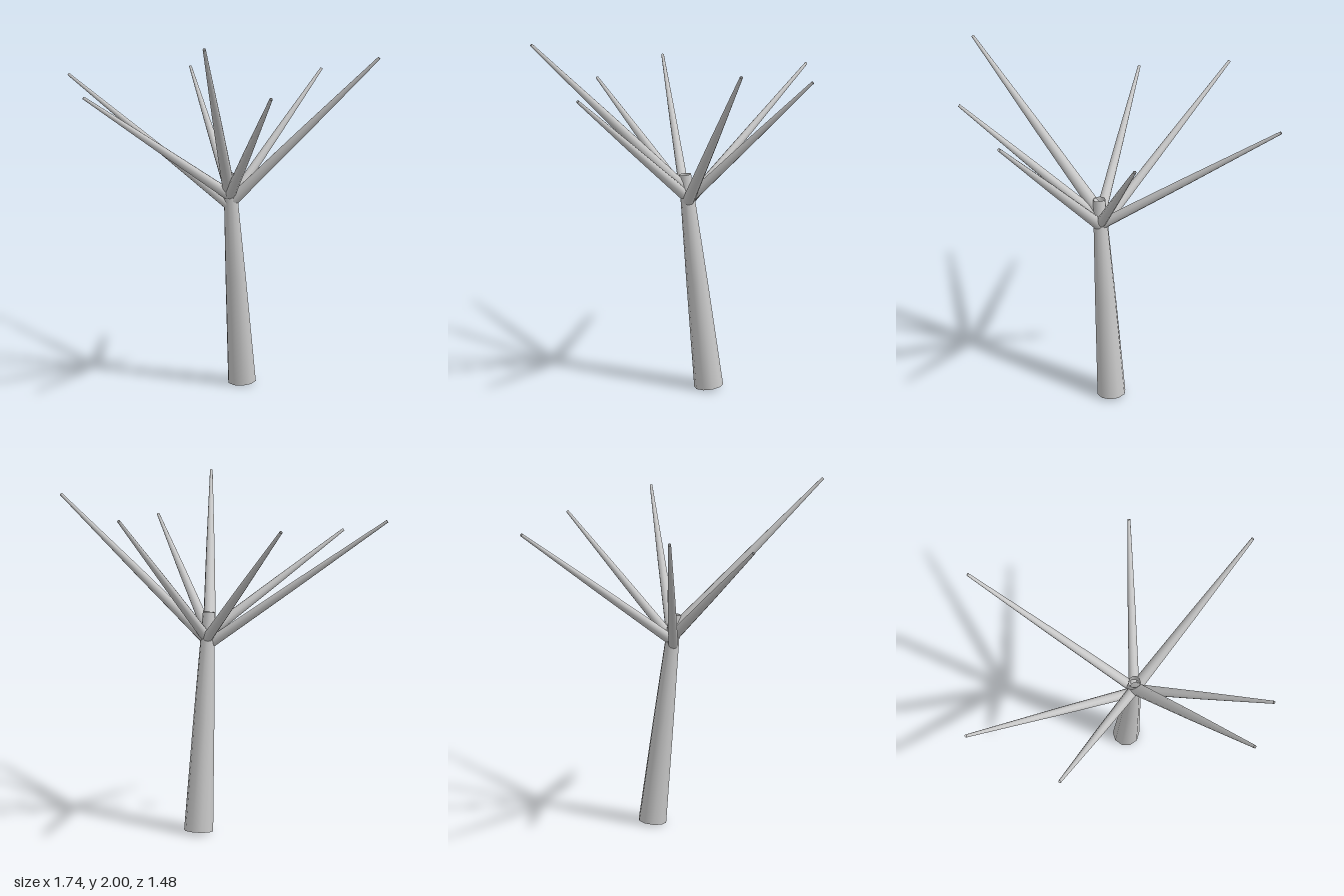
import * as THREE from 'three';

const bark = new THREE.MeshStandardMaterial({ color: 0xc8c8c8, side: THREE.DoubleSide });
bark.name = 'bark grey';

// Open tapered limb from one point to another, slightly swollen at its middle ring
function limb(name, from, to, r0, r1, swell) {
  const a = new THREE.Vector3(...from);
  const b = new THREE.Vector3(...to);
  const dir = b.clone().sub(a);
  const geo = new THREE.CylinderGeometry(r1, r0, dir.length(), 10, 2, true);
  const pos = geo.attributes.position;
  for (let i = 0; i < pos.count; i++) {
    if (Math.abs(pos.getY(i)) < 1e-4) pos.setXYZ(i, pos.getX(i) * swell, 0, pos.getZ(i) * swell);
  }
  const mesh = new THREE.Mesh(geo, bark);
  mesh.name = name;
  mesh.position.copy(a).lerp(b, 0.5);
  mesh.quaternion.setFromUnitVectors(new THREE.Vector3(0, 1, 0), dir.normalize());
  return mesh;
}

export function createModel() {
  const tree = new THREE.Group();
  tree.name = 'bareTree';

  // Leaning trunk
  tree.add(limb('trunk', [0.112, 0.01, -0.184], [0.11, 1.24, -0.047], 0.083, 0.034, 1.03));

  // Branches fanning out from the crown: base, tip, base radius
  const branches = [
    ['branchFrontTall', [0.11, 1.16, -0.04], [0.464, 1.997, 0.734], 0.036],
    ['branchLeft', [0.12, 1.09, -0.065], [0.863, 1.9, -0.376], 0.033],
    ['branchRight', [0.12, 1.05, -0.06], [-0.865, 1.765, 0.156], 0.03],
    ['branchBackRight', [0.125, 1.08, -0.06], [-0.605, 1.76, -0.71], 0.03],
    ['branchBack', [0.11, 1.08, -0.05], [0.301, 1.79, -0.737], 0.03],
    ['branchFrontRight', [0.11, 1.12, -0.05], [-0.48, 1.682, 0.51], 0.031],
    ['branchFrontLeft', [0.11, 1.12, -0.05], [0.69, 1.74, 0.464], 0.031],
  ];
  for (const [name, base, tip, r] of branches) tree.add(limb(name, base, tip, r, 0.008, 1.1));

  return tree;
}
